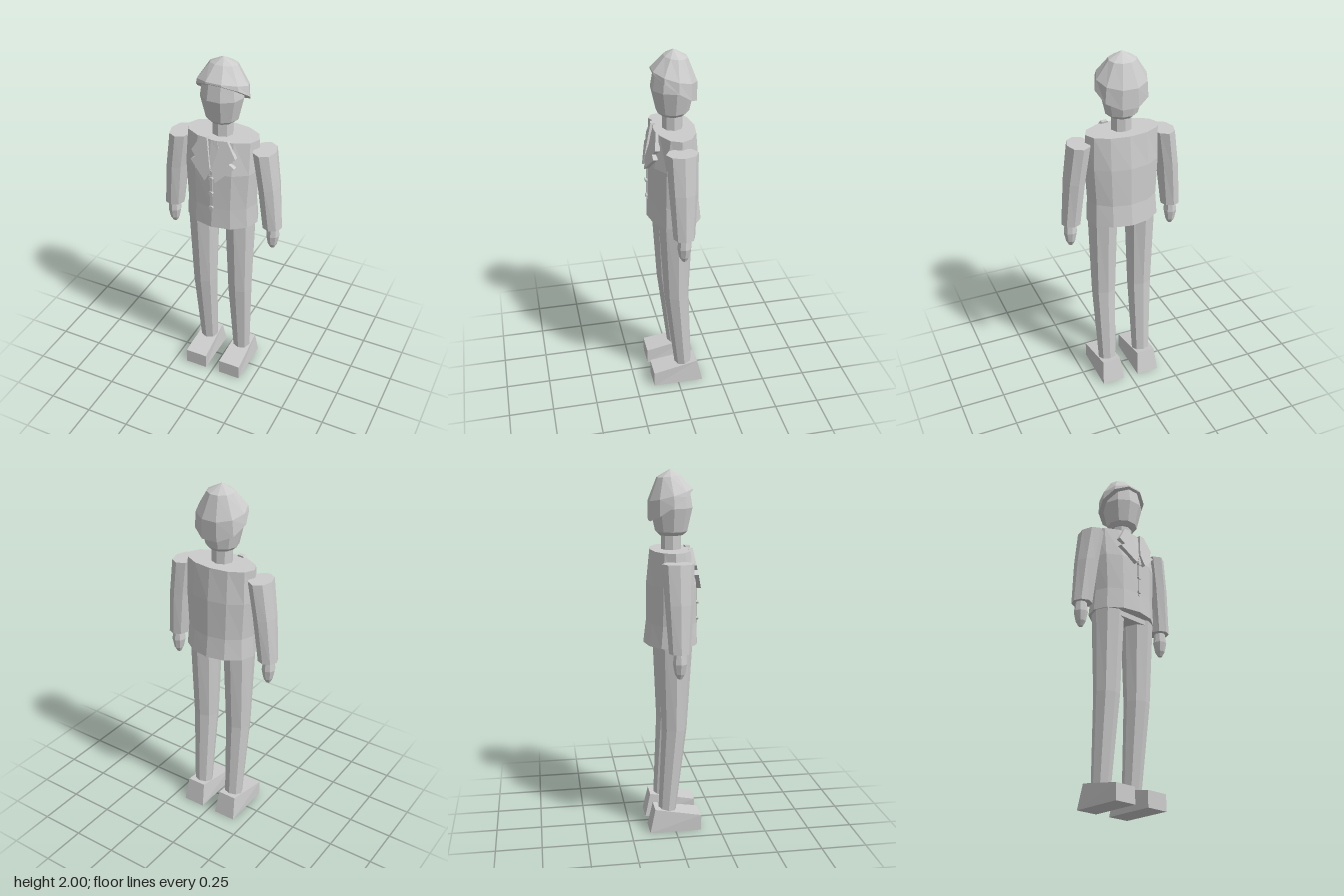
import * as THREE from 'three';

const grey = new THREE.MeshStandardMaterial({ color: 0xcccccc, flatShading: true });
grey.name = 'plain grey';

// Closed loft; each ring is [y, centreX, centreZ, radiusX, radiusZ, slope of y along z]
function loft(rings, sides) {
  const pos = [], idx = [];
  for (const [y, cx, cz, rx, rz, tilt = 0] of rings) {
    for (let i = 0; i < sides; i++) {
      const a = (i / sides) * Math.PI * 2;
      const z = cz + Math.sin(a) * rz;
      pos.push(cx + Math.cos(a) * rx, y + tilt * z, z);
    }
  }
  for (let r = 0; r < rings.length - 1; r++) {
    for (let i = 0; i < sides; i++) {
      const j = (i + 1) % sides, b = r * sides, t = b + sides;
      idx.push(b + i, t + i, t + j, b + i, t + j, b + j);
    }
  }
  const top = (rings.length - 1) * sides;
  for (let i = 1; i < sides - 1; i++) {
    idx.push(0, i, i + 1, top, top + i + 1, top + i);
  }
  const g = new THREE.BufferGeometry();
  g.setAttribute('position', new THREE.Float32BufferAttribute(pos, 3));
  g.setIndex(idx);
  const flat = g.toNonIndexed();
  flat.computeVertexNormals();
  return flat;
}

// Thin plate leaning back against the chest
function chestPlate(points, front) {
  const shape = new THREE.Shape(points.map(([x, y]) => new THREE.Vector2(x, y)));
  const g = new THREE.ExtrudeGeometry(shape, { depth: 0.025, bevelEnabled: false });
  const p = g.attributes.position;
  for (let i = 0; i < p.count; i++) {
    p.setZ(i, p.getZ(i) - 0.025 + front - 0.22 * (p.getY(i) - 1.37) - 0.12 * Math.abs(p.getX(i)));
  }
  g.computeVertexNormals();
  return g;
}

// Wedge shoe: low toe, high heel, sloping back
function shoeGeometry() {
  const g = new THREE.BoxGeometry(0.13, 0.09, 0.29);
  const p = g.attributes.position;
  for (let i = 0; i < p.count; i++) {
    const up = p.getY(i) > 0, back = p.getZ(i) < 0;
    p.setY(i, up ? (back ? 0.135 : 0.09) : 0);
    if (up && back) {
      p.setZ(i, -0.115);
      p.setX(i, p.getX(i) * 0.83);
    }
  }
  g.computeVertexNormals();
  return g;
}

export function createModel() {
  const group = new THREE.Group();
  const add = (name, geometry) => {
    const mesh = new THREE.Mesh(geometry, grey);
    mesh.name = name;
    group.add(mesh);
    return mesh;
  };

  // Head, hair and neck
  add('head', loft([
    [1.655, 0, 0, 0.065, 0.065], [1.675, 0, 0, 0.088, 0.087],
    [1.8, 0, 0, 0.118, 0.115], [1.89, 0, 0, 0.105, 0.1],
  ], 10));
  add('hair', loft([
    [1.815, 0, -0.005, 0.146, 0.12, 0.7], [1.87, 0, -0.006, 0.138, 0.12, 0.28],
    [1.965, 0, -0.015, 0.075, 0.063, 0.1], [2.0, 0, -0.005, 0.001, 0.001],
  ], 10));
  add('neck', loft([[1.56, 0, 0, 0.058, 0.055], [1.67, 0, 0, 0.058, 0.055]], 8));

  // Jacket and hips
  add('jacket', loft([
    [1.07, 0, -0.005, 0.205, 0.15], [1.19, 0, 0, 0.198, 0.14],
    [1.4, 0, 0, 0.21, 0.137], [1.58, 0, -0.008, 0.205, 0.11],
  ], 12));
  add('hips', new THREE.BoxGeometry(0.19, 0.06, 0.16)).position.set(0, 1.07, 0.01);

  // Notched lapels
  const lapel = [
    [0.03, 1.365], [0.125, 1.455], [0.095, 1.475], [0.125, 1.505],
    [0.075, 1.59], [0.04, 1.59], [0.005, 1.43],
  ];
  for (const s of [1, -1]) {
    const pts = lapel.map(([x, y]) => [x * s, y]);
    add(s > 0 ? 'leftLapel' : 'rightLapel', chestPlate(pts, 0.162));
  }

  // Tie, jacket closing edge and buttons
  add('tie', chestPlate([[-0.012, 1.39], [0.012, 1.39], [0.03, 1.52], [0.018, 1.58], [-0.018, 1.58], [-0.03, 1.52]], 0.15));
  add('jacketEdge', new THREE.BoxGeometry(0.014, 0.25, 0.012)).position.set(0, 1.295, 0.137);
  for (const y of [1.195, 1.285, 1.375]) {
    const button = add('button', new THREE.CylinderGeometry(0.012, 0.012, 0.02, 8));
    button.rotation.x = Math.PI / 2;
    button.position.set(0, y, 0.14);
  }

  for (const s of [1, -1]) {
    const side = s > 0 ? 'left' : 'right';
    // Arms and hands
    add(side + 'Arm', loft([
      [1.075, s * 0.295, 0, 0.055, 0.058], [1.33, s * 0.27, 0, 0.06, 0.075],
      [1.535, s * 0.24, 0, 0.062, 0.085],
    ], 8));
    add(side + 'Hand', loft([
      [0.938, s * 0.3, 0, 0.012, 0.012], [0.965, s * 0.3, 0, 0.026, 0.028],
      [1.02, s * 0.3, 0, 0.038, 0.038], [1.08, s * 0.3, 0, 0.03, 0.032],
    ], 8));
    // Legs and shoes
    add(side + 'Leg', loft([
      [0.11, s * 0.108, -0.04, 0.053, 0.05], [0.6, s * 0.11, 0, 0.072, 0.07],
      [1.09, s * 0.11, 0.005, 0.086, 0.095],
    ], 8));
    add(side + 'Shoe', shoeGeometry()).position.x = s * 0.11;
  }
  return group;
}
